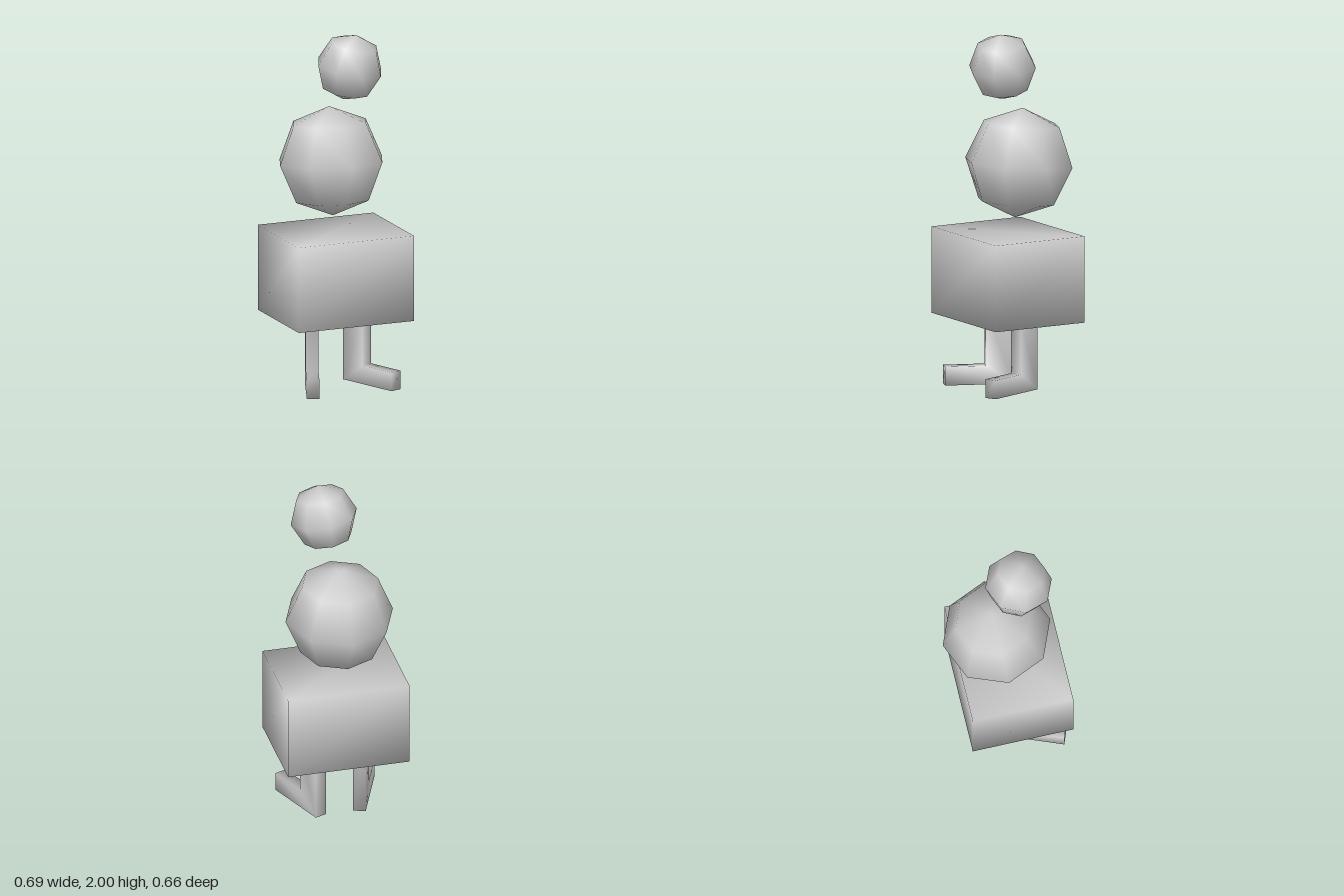
import * as THREE from 'three';
import { mergeVertices } from 'three/addons/utils/BufferGeometryUtils.js';

// Weld the corners so shading runs softly over the coarse facets.
function soften(geometry) {
  geometry.deleteAttribute('normal');
  geometry.deleteAttribute('uv');
  const welded = mergeVertices(geometry, 1e-4);
  welded.computeVertexNormals();
  return welded;
}

export function createModel() {
  const model = new THREE.Group();
  const material = new THREE.MeshStandardMaterial({ color: 0xcccccc });

  function addPart(name, geometry, x, y, z) {
    const mesh = new THREE.Mesh(soften(geometry), material);
    mesh.name = name;
    mesh.position.set(x, y, z);
    model.add(mesh);
    return mesh;
  }

  // Boxy lower body
  addPart('lowerBody', new THREE.BoxGeometry(0.692, 0.485, 0.57), 0, 0.6325, 0.045);

  // Ball-shaped chest, tipped slightly back
  const chest = addPart('chest', new THREE.SphereGeometry(0.306, 8, 4), 0, 1.255, -0.025);
  chest.rotation.x = -0.083;

  // Head, tipped forward and to its left
  const head = addPart('head', new THREE.SphereGeometry(0.19, 8, 4), 0.053, 1.815, 0.112);
  head.rotation.set(0.15, 0, -0.14, 'ZXY');

  // L-shaped legs, each one slab of leg and foot, toes turned out
  const legWidth = 0.07;
  const profile = new THREE.Shape([
    [-0.075, 0], [0.306, 0], [0.306, 0.105], [0.075, 0.105], [0.075, 0.42], [-0.075, 0.42],
  ].map(([forward, up]) => new THREE.Vector2(forward, up)));

  for (const side of [1, -1]) {
    const slab = new THREE.ExtrudeGeometry(profile, { depth: legWidth, bevelEnabled: false });
    slab.translate(0, 0, -legWidth / 2).rotateY(-Math.PI / 2);
    const leg = addPart(side > 0 ? 'leftLeg' : 'rightLeg', slab, side * 0.137, 0, 0.022);
    leg.rotation.y = side * 0.377;
  }

  return model;
}
